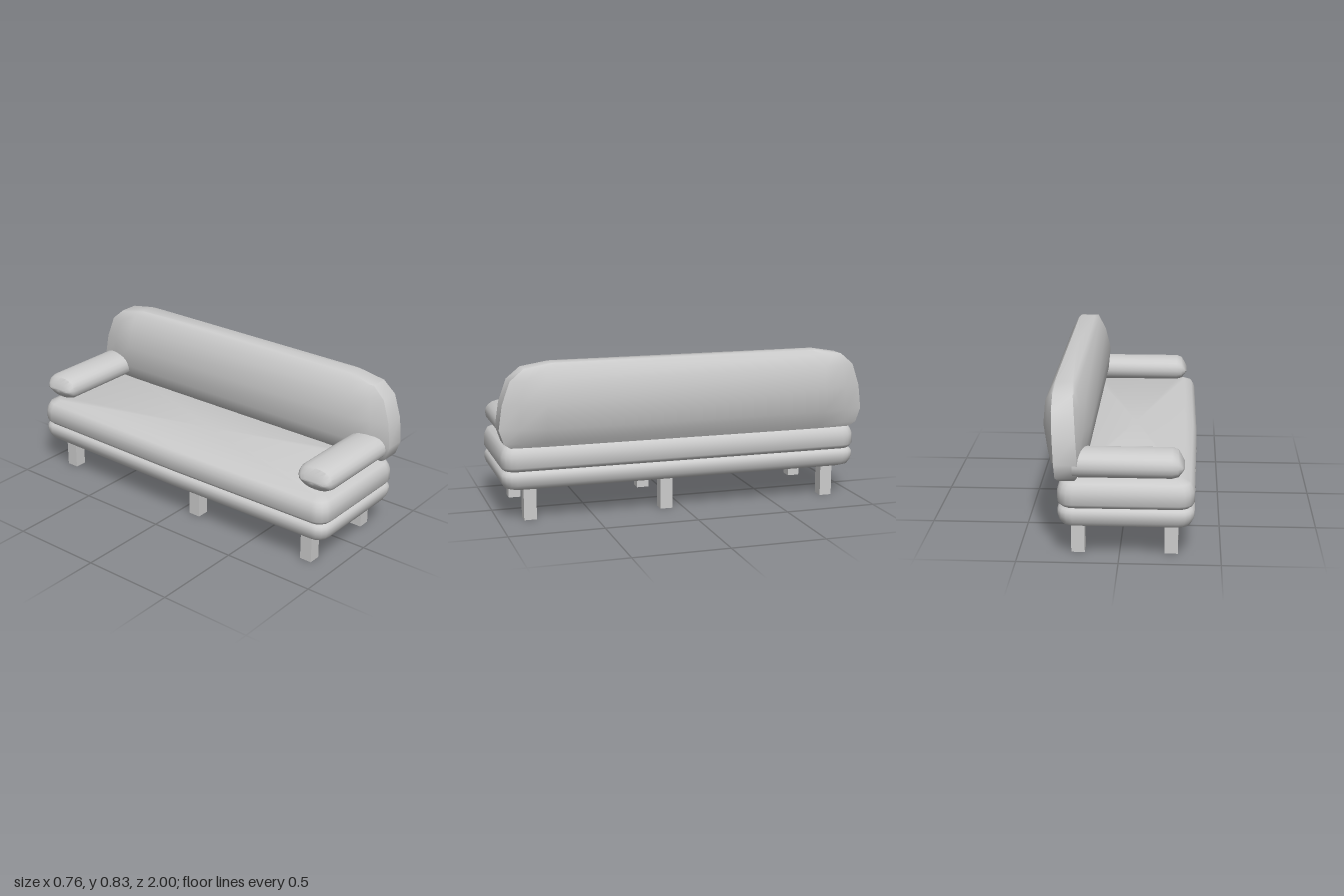
import * as THREE from 'three';
import { toCreasedNormals } from 'three/addons/utils/BufferGeometryUtils.js';

const material = new THREE.MeshStandardMaterial({ color: 0xcccccc });

// Skin a stack of equal-length loops of [x, y, z] and close both ends.
function loft(name, loops, crease = 0.7) {
  const n = loops[0].length, last = loops.length - 1;
  const pos = loops.flat(2), index = [];
  for (let k = 0; k < last; k++) {
    for (let i = 0; i < n; i++) {
      const a = k * n + i, b = k * n + (i + 1) % n;
      index.push(a, b, b + n, a, b + n, a + n);
    }
  }
  for (const k of [0, last]) {
    const c = pos.length / 3;
    for (let j = 0; j < 3; j++) pos.push(loops[k].reduce((s, p) => s + p[j], 0) / n);
    for (let i = 0; i < n; i++) {
      const a = k * n + i, b = k * n + (i + 1) % n;
      if (k) index.push(c, a, b);
      else index.push(c, b, a);
    }
  }
  const geo = new THREE.BufferGeometry();
  geo.setAttribute('position', new THREE.Float32BufferAttribute(pos, 3));
  geo.setIndex(index);
  const mesh = new THREE.Mesh(toCreasedNormals(geo, crease), material);
  mesh.name = name;
  return mesh;
}

// Rounded rectangle in plan; the long front edge bows out slightly at its middle.
function seatLoop(y, inset) {
  const r = 0.075 - inset * 0.6, pts = [];
  const x0 = -0.368 + inset, x1 = 0.3 - inset, z1 = 0.985 - inset;
  const corners = [[x1 - r, -z1 + r], [x0 + r, -z1 + r], [x0 + r, z1 - r], [x1 - r, z1 - r]];
  corners.forEach(([cx, cz], q) => {
    for (let i = 0; i <= 4; i++) {
      const a = (q + i / 4) * Math.PI / 2;
      pts.push([cx + r * Math.cos(a), y, cz - r * Math.sin(a)]);
    }
    if (q === 1) pts.push([x0 - 0.011, y, 0]);
  });
  return pts;
}

// Horizontal slice of the backrest, narrowing toward its two ends.
function backLoop([y, xf, xb, ef, eb, z]) {
  const zi = Math.min(0.76, z - 0.03), zm = (zi + z) / 2 + 0.02 * (z > 0.8);
  const mf = xf + (ef - xf) * 0.5, mb = xb + (eb - xb) * 0.5;
  const half = [[xb, zi], [mb, zm], [eb, z], [ef, z], [mf, zm], [xf, zi]];
  return [
    ...half.map(([x, w]) => [x, y, -w]),
    ...half.reverse().map(([x, w]) => [x, y, w]),
  ];
}

// Oval bolster running along x with a wedge-shaped front end.
function armrest(name, z) {
  const stations = [[-0.317, 0.08, 0.6], [-0.305, 0.45, 0.8], [-0.287, 0.86, 0.93], [-0.258, 1, 1], [0.22, 1, 1]];
  return loft(name, stations.map(([x, sy, sz]) => {
    const ring = [];
    for (let i = 0; i < 20; i++) {
      const a = i / 20 * Math.PI * 2, c = Math.cos(a), s = Math.sin(a);
      const y = 0.475 + 0.01 * Math.min(1, sy) + 0.068 * sy * Math.sign(c) * Math.abs(c) ** 0.85;
      ring.push([x, y, z + 0.107 * sz * Math.sign(s) * Math.abs(s) ** 0.85]);
    }
    return ring;
  }));
}

export function createModel() {
  const sofa = new THREE.Group();
  sofa.name = 'sofa';

  // Seat: two padded layers with a crease between them (y, inset)
  const seatProfile = [
    [0.165, 0.06], [0.18, 0.02], [0.2, 0.008], [0.225, 0], [0.25, 0], [0.262, 0.008],
    [0.271, 0.018], [0.28, 0.008], [0.293, 0], [0.35, 0], [0.372, 0.008], [0.393, 0.02], [0.409, 0.06],
  ];
  sofa.add(loft('seat', seatProfile.map(([y, inset]) => seatLoop(y, inset)), 0.9));

  // Backrest slices: y, front x, back x, front and back x at the ends, half length
  const backProfile = [
    [0.4, 0.205, 0.308, 0.215, 0.295, 0.94],
    [0.425, 0.183, 0.322, 0.2, 0.305, 0.975],
    [0.5, 0.155, 0.36, 0.194, 0.308, 1],
    [0.63, 0.142, 0.378, 0.203, 0.315, 0.982],
    [0.75, 0.17, 0.367, 0.212, 0.32, 0.94],
    [0.81, 0.209, 0.336, 0.222, 0.32, 0.87],
    [0.835, 0.23, 0.323, 0.235, 0.318, 0.73],
  ];
  sofa.add(loft('backrest', backProfile.map(backLoop), 0.9));

  // Armrests
  sofa.add(armrest('leftArmrest', -0.893), armrest('rightArmrest', 0.873));

  // Six square legs
  const legGeometry = new THREE.BoxGeometry(0.067, 0.17, 0.067);
  for (const x of [-0.256, 0.206]) {
    for (const z of [-0.835, 0.095, 0.835]) {
      const leg = new THREE.Mesh(legGeometry, material);
      leg.name = 'leg';
      leg.position.set(x, 0.085, z);
      sofa.add(leg);
    }
  }
  return sofa;
}
